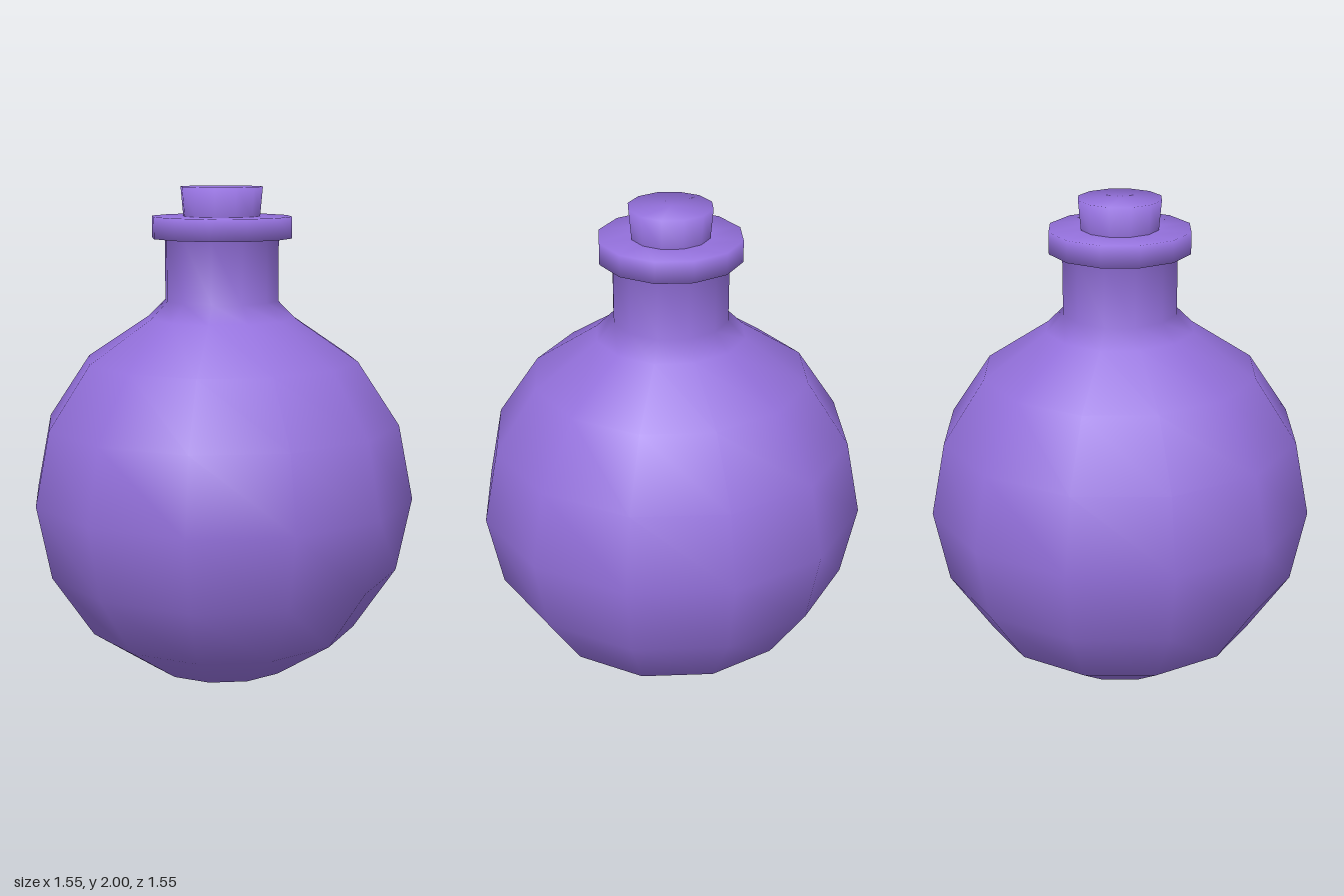
import * as THREE from 'three';

const SIDES = 12;

export function createModel() {
  const model = new THREE.Group();
  model.name = 'roundFlask';
  const glass = new THREE.MeshStandardMaterial({ color: 0x9370db });

  // Turns a profile of [radius, height] points around the y axis
  const turned = (name, profile) => {
    const points = profile.map(([r, y]) => new THREE.Vector2(r, y));
    const mesh = new THREE.Mesh(new THREE.LatheGeometry(points, SIDES), glass);
    mesh.name = name;
    model.add(mesh);
  };

  // Round belly: seven of the eight bands of a coarse sphere
  const R = 0.773;
  const belly = [];
  for (let i = 0; i <= 7; i++) {
    const a = (i * Math.PI) / 8;
    belly.push([R * Math.sin(a), R * (1 - Math.cos(a))]);
  }

  // Belly, sloped shoulder, straight neck and flat lip in one smooth surface
  turned('bottle', [
    ...belly,
    [0.228, 1.555], [0.228, 1.8],
    [0.28, 1.8], [0.28, 1.885], [0.15, 1.885],
  ]);

  // Stopper, slightly wider at the top
  turned('stopper', [[0.153, 1.88], [0.164, 2], [0, 2]]);

  return model;
}
